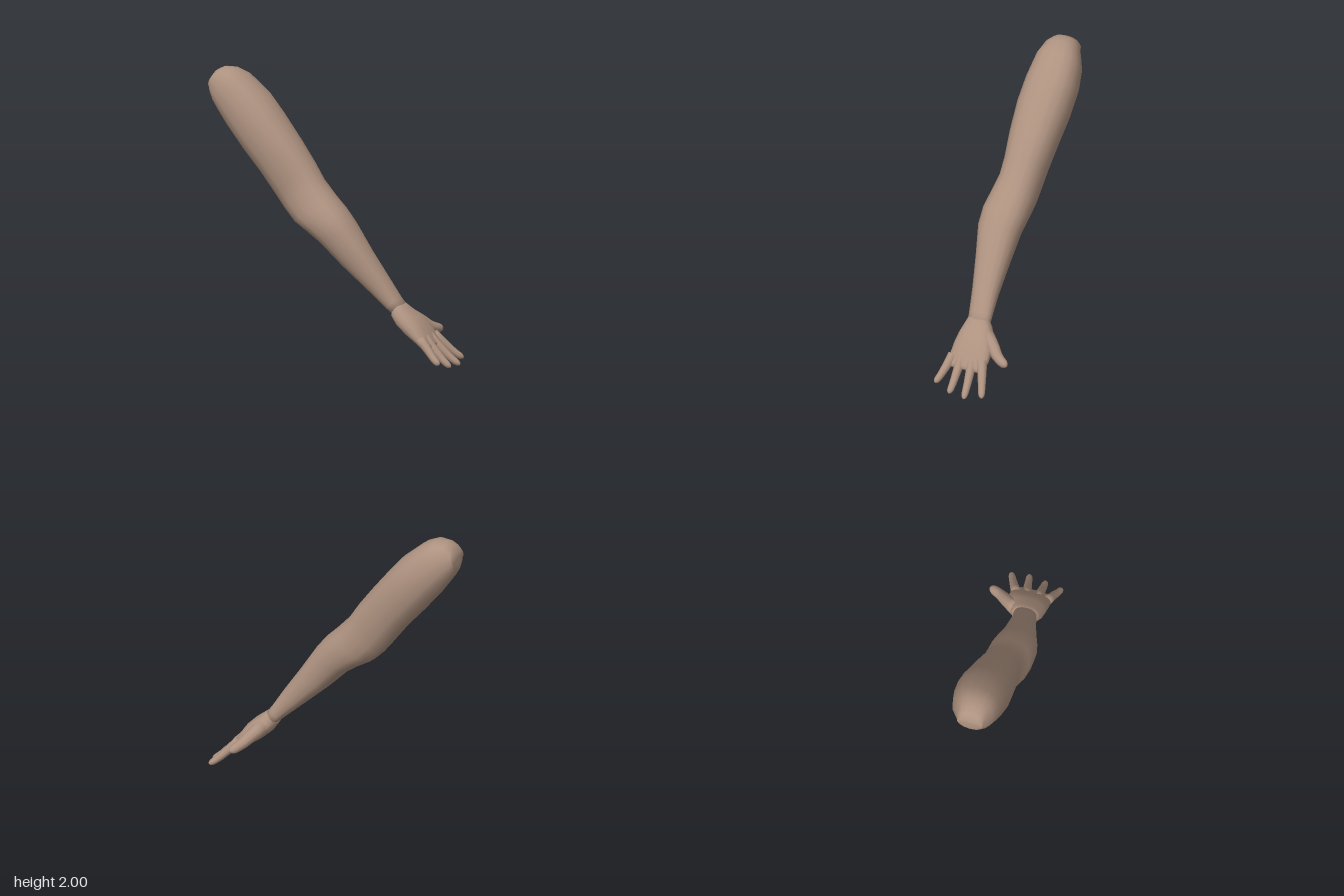
import * as THREE from 'three';

// Skin a list of sections { c: centre, h: half-height vector, w: half-width vector }
function loft(sections, sides, power) {
  const pos = [], idx = [];
  const bulge = v => Math.sign(v) * Math.abs(v) ** (2 / power);
  for (const { c, h, w } of sections) {
    for (let i = 0; i < sides; i++) {
      const a = (i / sides) * Math.PI * 2;
      const p = c.clone().addScaledVector(h, bulge(Math.cos(a))).addScaledVector(w, bulge(Math.sin(a)));
      pos.push(p.x, p.y, p.z);
    }
  }
  const last = sections.length - 1;
  for (let s = 0; s < last; s++) {
    for (let i = 0; i < sides; i++) {
      const a = s * sides + i, b = s * sides + (i + 1) % sides;
      idx.push(a, b, a + sides, b, b + sides, a + sides);
    }
  }
  // close both ends
  const first = pos.length / 3;
  for (const s of [0, last]) pos.push(...sections[s].c.toArray());
  for (let i = 0; i < sides; i++) {
    const j = (i + 1) % sides, e = last * sides;
    idx.push(first, j, i, first + 1, e + i, e + j);
  }
  const g = new THREE.BufferGeometry();
  g.setAttribute('position', new THREE.Float32BufferAttribute(pos, 3));
  g.setIndex(idx);
  g.computeVertexNormals();
  return g;
}

// Section from its upper and lower outline points and its z range
const section = ([ux, uy, lx, ly, z0, z1]) => ({
  c: new THREE.Vector3((ux + lx) / 2, (uy + ly) / 2, (z0 + z1) / 2),
  h: new THREE.Vector3((ux - lx) / 2, (uy - ly) / 2, 0),
  w: new THREE.Vector3(0, 0, (z1 - z0) / 2),
});

// Tapered, round-tipped digit along a curve
function digit(points, r0, r1) {
  const curve = new THREE.CatmullRomCurve3(points.map(p => new THREE.Vector3(...p)));
  const sections = [];
  for (const t of [0, 0.2, 0.4, 0.6, 0.75, 0.87, 0.94, 0.98, 0.998]) {
    const c = curve.getPointAt(t), d = curve.getTangentAt(t);
    const k = Math.max(0, (t - 0.87) / 0.13);
    const r = (r0 + (r1 - r0) * t) * Math.sqrt(1 - k * k);
    const h = new THREE.Vector3(0.75, 0.66, 0);
    h.addScaledVector(d, -h.dot(d)).normalize();
    const w = d.clone().cross(h);
    sections.push({ c, h: h.multiplyScalar(r), w: w.multiplyScalar(r) });
  }
  return loft(sections, 10, 2);
}

export function createModel() {
  const model = new THREE.Group();
  model.name = 'arm';
  const skin = new THREE.MeshStandardMaterial({ color: 0xae9280 });
  skin.name = 'skin';
  const add = (name, geometry, parent) => {
    const m = new THREE.Mesh(geometry, skin);
    m.name = name;
    parent.add(m);
  };

  // Upper arm, elbow and forearm: upper x, y, lower x, y, z range
  add('armAndForearm', loft([
    [-0.91, 1.93, -0.92, 1.85, -0.05, 0.13],
    [-0.88, 1.975, -0.922, 1.82, -0.055, 0.135],
    [-0.83, 2.0, -0.915, 1.79, -0.065, 0.15],
    [-0.75, 2.0, -0.90, 1.76, -0.09, 0.18],
    [-0.66, 1.96, -0.86, 1.70, -0.125, 0.205],
    [-0.51, 1.83, -0.79, 1.60, -0.147, 0.225],
    [-0.40, 1.70, -0.66, 1.44, -0.14, 0.236],
    [-0.26, 1.52, -0.53, 1.29, -0.115, 0.228],
    [-0.15, 1.37, -0.41, 1.13, -0.09, 0.212],
    [-0.08, 1.26, -0.34, 1.04, -0.08, 0.215],
    [0.02, 1.15, -0.26, 0.96, -0.075, 0.24],
    [0.10, 1.07, -0.16, 0.90, -0.07, 0.255],
    [0.18, 0.97, -0.06, 0.83, -0.055, 0.25],
    [0.30, 0.78, 0.09, 0.68, -0.038, 0.205],
    [0.42, 0.60, 0.28, 0.51, -0.03, 0.16],
    [0.50, 0.47, 0.42, 0.385, -0.035, 0.135],
    [0.54, 0.415, 0.47, 0.345, -0.04, 0.125],
  ].map(section), 16, 2.3), model);

  const hand = new THREE.Group();
  hand.name = 'hand';
  model.add(hand);

  // Palm with a raised heel at the wrist
  add('palm', loft([
    [0.515, 0.44, 0.455, 0.375, -0.035, 0.125],
    [0.565, 0.40, 0.45, 0.345, -0.06, 0.14],
    [0.63, 0.35, 0.49, 0.285, -0.095, 0.16],
    [0.68, 0.30, 0.56, 0.225, -0.12, 0.17],
    [0.725, 0.23, 0.645, 0.17, -0.122, 0.175],
    [0.76, 0.175, 0.705, 0.13, -0.11, 0.175],
    [0.77, 0.155, 0.735, 0.125, -0.095, 0.165],
  ].map(section), 16, 2.4), hand);

  // Fingers: knuckle z, tip x, y, z
  const fingers = {
    littleFinger: [0.145, 0.865, 0.05, 0.205],
    ringFinger: [0.075, 0.90, 0.012, 0.08],
    middleFinger: [-0.005, 0.918, 0.008, -0.043],
    indexFinger: [-0.08, 0.89, 0.03, -0.168],
  };
  for (const [name, [z, tx, ty, tz]] of Object.entries(fingers)) {
    add(name, digit([
      [0.70, 0.205, z],
      [0.765, 0.14, z + (tz - z) * 0.35],
      [0.76 + (tx - 0.76) * 0.55, 0.14 + (ty - 0.14) * 0.6, z + (tz - z) * 0.7],
      [tx, ty, tz],
    ], 0.036, 0.022), hand);
  }

  // Thumb
  add('thumb', digit([
    [0.54, 0.33, -0.03],
    [0.59, 0.285, -0.105],
    [0.64, 0.235, -0.17],
    [0.69, 0.205, -0.262],
  ], 0.055, 0.03), hand);

  return model;
}
